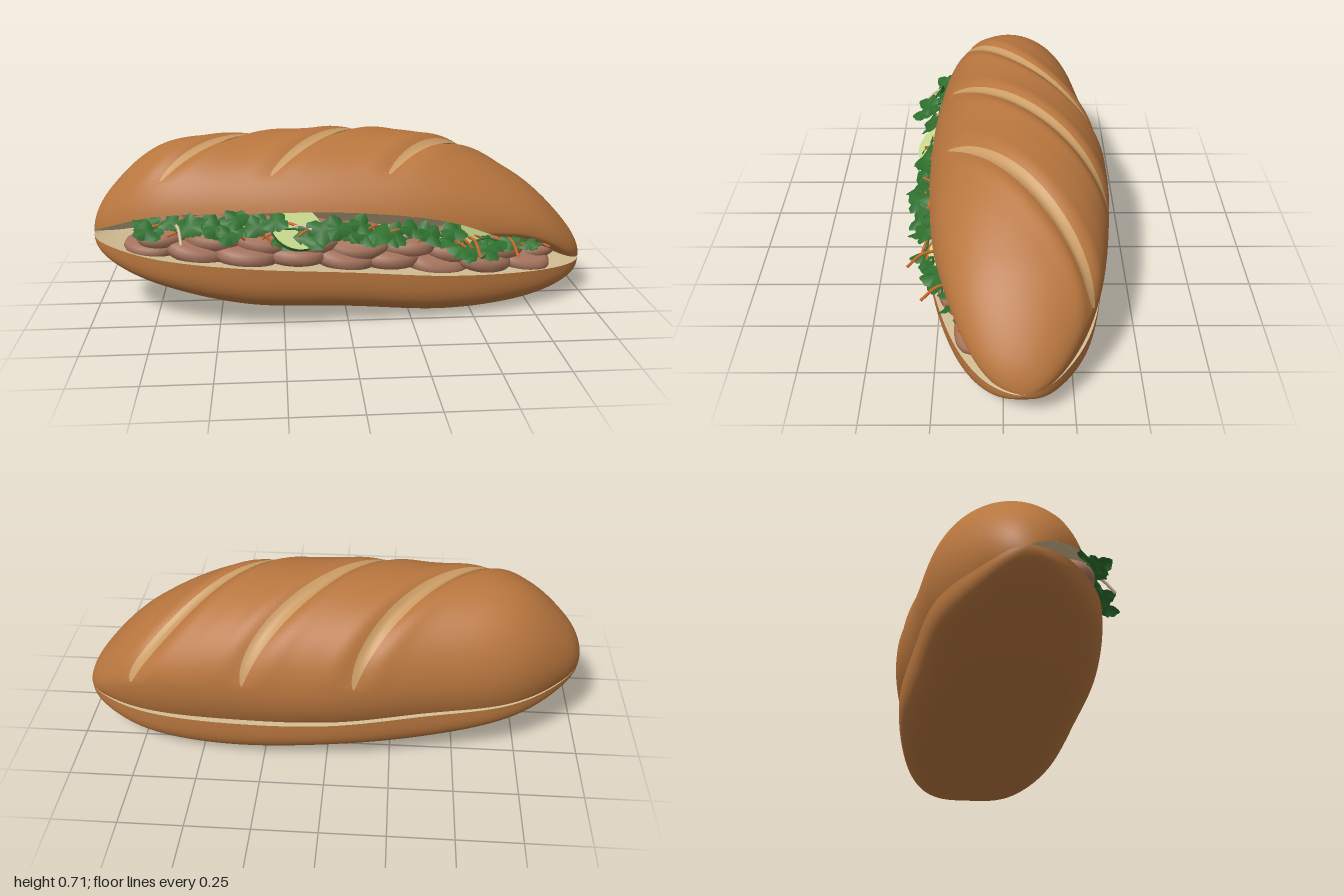
import * as THREE from 'three';

const paint = (name, color, side = THREE.FrontSide) => {
  const m = new THREE.MeshStandardMaterial({ color, side });
  m.name = name;
  return m;
};

// Outline tables, sampled at nine stations x = -cos(u), u = 0..PI
const T = {
  top: [.31, .49, .66, .69, .70, .66, .505, .305, .14],       // crown height
  mid: [.31, .345, .37, .37, .365, .36, .325, .21, .14],      // widest height of the lid
  lip: [.31, .37, .44, .455, .455, .405, .27, .18, .14],      // front edge of the lid
  hinge: [.31, .27, .25, .23, .20, .18, .165, .15, .14],      // back seam
  lidF: [0, .13, .24, .285, .30, .275, .20, .085, -.07],
  lidB: [0, -.145, -.29, -.355, -.415, -.395, -.335, -.21, -.07],
  rim: [.31, .30, .28, .255, .228, .19, .165, .15, .14],      // front edge of the base
  low: [.31, .22, .135, .06, .035, .001, .015, .07, .14],     // underside
  baseF: [0, .15, .28, .33, .32, .285, .2, .08, -.07],
  baseB: [0, -.135, -.28, -.345, -.395, -.38, -.32, -.2, -.07],
};
function at(name, u) {
  const a = T[name], f = THREE.MathUtils.clamp(u / Math.PI, 0, 1) * 8;
  const i = Math.min(7, Math.floor(f)), t = f - i;
  const p1 = a[i], p2 = a[i + 1];
  const p0 = i === 0 ? 2 * p1 - p2 : a[i - 1], p3 = i === 7 ? 2 * p2 - p1 : a[i + 2];
  return p1 + .5 * t * (p2 - p0 + t * (2 * p0 - 5 * p1 + 4 * p2 - p3 + t * (3 * (p1 - p2) + p3 - p0)));
}
const uOf = x => Math.acos(THREE.MathUtils.clamp(-x, -1, 1));

// Grid surface from fn(a, b) -> [x, y, z], a and b in 0..1
function loft(fn, na, nb) {
  const pos = [], idx = [];
  for (let i = 0; i <= na; i++) for (let j = 0; j <= nb; j++) pos.push(...fn(i / na, j / nb));
  for (let i = 0; i < na; i++) for (let j = 0; j < nb; j++) {
    const a = i * (nb + 1) + j, b = a + nb + 1;
    idx.push(a, b, a + 1, b, b + 1, a + 1);
  }
  const g = new THREE.BufferGeometry();
  g.setAttribute('position', new THREE.Float32BufferAttribute(pos, 3));
  g.setIndex(idx);
  g.computeVertexNormals();
  return g;
}

// Lid cross-section and the grooves of the diagonal scores
const SCORES = [-.45, -.03, .42];
const scoreX = (c, th) => c - .345 * Math.cos(th);
const fade = th => Math.pow(Math.max(0, Math.sin(Math.PI * THREE.MathUtils.clamp((th - .7) / 2.35, 0, 1))), .6);
const crownRadius = u => Math.max(1e-4, at('top', u) - at('mid', u));
// below the widest height the front edge tucks under and the back drops steeply to the seam
const tuckRadius = u => Math.max(.07, 1.3 * (at('mid', u) - at('lip', u)));
const backRadius = u => Math.max(crownRadius(u), 2 * (at('mid', u) - at('hinge', u)));
function lidPoint(u, th, lift = 0) {
  const x = -Math.cos(u), f = at('lidF', u), b = at('lidB', u);
  let dent = 0;
  for (const c of SCORES) {
    const d = (x - scoreX(c, th)) / .045;
    dent += (.02 * Math.exp(-d * d) - .006 * Math.exp(-Math.pow(Math.abs(d) - 2, 2))) * fade(th);
  }
  const c = Math.cos(th), s = Math.sin(th), crown = crownRadius(u);
  const ry = s > 0 ? crown : c > 0 ? tuckRadius(u) : backRadius(u);
  const k = lift - dent * Math.min(1, crown / .2);
  return [x, at('mid', u) + (ry + k) * s, (f + b) / 2 + ((f - b) / 2 + k) * c];
}
function lidAngles(u) {
  const yc = at('mid', u), front = at('lip', u) - yc, back = yc - at('hinge', u);
  const angle = v => Math.asin(THREE.MathUtils.clamp(v, -.95, .95));
  return [angle(front / (front < 0 ? tuckRadius(u) : crownRadius(u))), Math.PI + angle(back / backRadius(u))];
}
// Base cross-section, b = 0 at the back edge and 1 at the front edge
function basePoint(u, b) {
  const f = at('baseF', u), k = at('baseB', u), c = -Math.cos(b * Math.PI), s = Math.sin(b * Math.PI);
  const top = THREE.MathUtils.lerp(at('hinge', u) + .008, at('rim', u), b);
  const y = top - (top - at('low', u)) * Math.pow(Math.max(0, s), .63);
  return [-Math.cos(u), y, (f + k) / 2 + (f - k) / 2 * Math.sign(c) * Math.pow(Math.abs(c), .48)];
}

export function createModel() {
  const root = new THREE.Group();
  const crust = paint('crust', 0xb8763e, THREE.DoubleSide);
  const scoreMat = paint('scoredCrust', 0xcb9d66, THREE.DoubleSide);
  const crumb = paint('crumb', 0xd3bd93, THREE.DoubleSide);
  const meat = paint('meat', 0xa5735c);
  const leafMat = paint('leafGreen', 0x2e6f2e, THREE.DoubleSide);
  const skin = paint('cucumberSkin', 0x2f7030);
  const flesh = paint('cucumberFlesh', 0xc6d78c);
  const carrot = paint('carrot', 0xcf6a2a);
  const radish = paint('radish', 0xdccba4);

  let seed = 11;
  const rnd = () => (seed = (seed * 16807) % 2147483647) / 2147483647;
  const vary = r => (rnd() * 2 - 1) * r;
  const add = (parent, name, geo, mat) => {
    const m = new THREE.Mesh(geo, mat);
    m.name = name;
    parent.add(m);
    return m;
  };
  const group = name => {
    const g = new THREE.Group();
    g.name = name;
    root.add(g);
    return g;
  };

  // Bread lid: crust dome, score strips and arched crumb underside
  const lid = group('breadLid');
  add(lid, 'lidCrust', loft((a, b) => {
    const u = a * Math.PI, [t0, t1] = lidAngles(u);
    return lidPoint(u, t0 + (t1 - t0) * b);
  }, 200, 64), crust);
  for (const c of SCORES) add(lid, 'score', loft((a, b) => {
    const th = .72 + 2.33 * b;
    return lidPoint(uOf(scoreX(c, th) + (a - .5) * .08 * fade(th)), th, .004);
  }, 8, 60), scoreMat);
  add(lid, 'lidCrumb', loft((a, b) => {
    const u = a * Math.PI, [t0, t1] = lidAngles(u), p = lidPoint(u, t1), q = lidPoint(u, t0);
    const arch = .25 * crownRadius(u) * Math.sin(b * Math.PI);
    return p.map((v, i) => v + (q[i] - v) * b + (i === 1 ? arch : 0));
  }, 80, 16), crumb);

  // Bread base: crust shell and cut crumb face
  const base = group('breadBase');
  add(base, 'baseCrust', loft((a, b) => basePoint(a * Math.PI, b), 100, 56), crust);
  add(base, 'baseCrumb', loft((a, b) => {
    const p = basePoint(a * Math.PI, 1), q = basePoint(a * Math.PI, 0);
    return p.map((v, i) => v + (q[i] - v) * b);
  }, 100, 6), crumb);

  // Meat slices: thick rounded discs in two overlapping rows
  const meats = group('meatSlices');
  const slice = new THREE.LatheGeometry(
    [[0, -.036], [.72, -.035], [.92, -.024], [1, 0], [.92, .024], [.72, .035], [0, .036]]
      .map(([r, y]) => new THREE.Vector2(r, y)), 28);
  for (const [n, up, back] of [[9, .035, .11], [9, .09, .125]]) {
    for (let i = 0; i < n; i++) {
      const x = -.76 + 1.54 * (i + (up > .05 ? .3 : 0)) / (n - .7), u = uOf(x);
      const k = Math.min(1, .5 + (1 - Math.abs(x)) * 1.2);
      const m = add(meats, 'meatSlice', slice, meat);
      m.position.set(x, at('rim', u) + up * k + vary(.008), at('baseF', u) - back * k - .012 + vary(.012));
      m.rotation.set(.25 + vary(.15), vary(.3), -.1 + vary(.15));
      m.scale.set(.135 * k, k, .1 * k);
    }
  }

  // Cucumber slices with green skin
  const cukes = group('cucumberSlices');
  for (const [x, y, z, r, tilt, roll] of [[-.2, .395, .275, .1, .65, -.25], [.5, .328, .205, .085, .7, -.65]]) {
    const m = add(cukes, 'cucumberSlice', new THREE.CylinderGeometry(r, r, .016, 32), [skin, flesh, flesh]);
    m.position.set(x, y, z);
    m.rotation.set(tilt, 0, roll);
  }

  // Filling line: height between base rim and lid edge, and depth just under the lid edge
  const fillY = (x, f) => THREE.MathUtils.lerp(at('rim', uOf(x)), at('lip', uOf(x)), f)
    + .05 * THREE.MathUtils.smoothstep(x, .45, .75);
  const fillZ = x => at('lidF', uOf(x)) - .035 * THREE.MathUtils.smoothstep(x, .4, .75);

  // Carrot and radish shreds
  const shreds = group('vegetableShreds');
  for (let i = 0; i < 34; i++) {
    const x = -.76 + 1.54 * (i + rnd() * .8) / 34, pale = i % 4 === 0;
    const curve = new THREE.CatmullRomCurve3([-1, 0, 1].map(k =>
      new THREE.Vector3(k * .05, k ? -.01 : .01, k * vary(.02))));
    const m = add(shreds, pale ? 'radishShred' : 'carrotShred',
      new THREE.TubeGeometry(curve, 8, .0055, 5), pale ? radish : carrot);
    m.position.set(x, fillY(x, .66 + vary(.1)), fillZ(x) - .01 + vary(.025));
    m.rotation.set(vary(.3), vary(.55), -.15 + vary(.35));
  }
  // A few shreds hanging over the front
  for (const [x, mat] of [[-.64, radish], [.48, carrot], [.64, carrot]]) {
    const y = fillY(x, .75), z = fillZ(x);
    const curve = new THREE.CatmullRomCurve3([[x - .03, y, z - .04], [x, y + .01, z + .04], [x + .015, y - .04, z + .1]]
      .map(p => new THREE.Vector3(...p)));
    add(shreds, 'hangingShred', new THREE.TubeGeometry(curve, 10, .006, 5), mat);
  }

  // Herb leaves: lobed, cupped discs lying nearly flat, with thin stems
  const herbs = group('herbs');
  const leaf = new THREE.CircleGeometry(1, 36);
  const lp = leaf.attributes.position;
  for (let i = 1; i < lp.count; i++) {
    const a = (i - 1) / 36 * Math.PI * 2;
    const r = .82 + .16 * Math.cos(a * 3) + .06 * Math.cos(a * 9);
    lp.setXYZ(i, r * Math.cos(a), r * Math.sin(a), -.2 + .12 * Math.cos(a * 3));
  }
  leaf.computeVertexNormals();
  for (let i = 0; i < 40; i++) {
    const x = -.82 + 1.58 * (i + rnd()) / 40, k = Math.abs(x) > .6 ? .8 : 1;
    const nearCuke = Math.min(Math.abs(x + .2), Math.abs(x - .5)) < .07;
    const m = add(herbs, 'leaf', leaf, leafMat);
    m.position.set(x, fillY(x, nearCuke ? .6 : .68 + rnd() * .24), fillZ(x) + (nearCuke ? .025 : rnd() * .045));
    m.rotation.set(-.95 + vary(.4), vary(.4), vary(3));
    m.scale.setScalar((.046 + rnd() * .02) * k);
  }
  // Leaves reaching furthest out
  for (const [x, f, z] of [[-.5, .88, .07], [-.45, .75, .085], [-.42, 1, .04], [-.76, .8, .06]]) {
    const m = add(herbs, 'leaf', leaf, leafMat);
    m.position.set(x, fillY(x, f), fillZ(x) + z);
    m.rotation.set(-.9, .2, x * 9);
    m.scale.setScalar(.052);
  }
  const stem = new THREE.CylinderGeometry(.004, .004, .12, 5);
  for (let i = 0; i < 14; i++) {
    const x = -.7 + 1.4 * i / 13, m = add(herbs, 'stem', stem, leafMat);
    m.position.set(x, fillY(x, .72), fillZ(x) + .005);
    m.rotation.set(vary(.5), 0, Math.PI / 2 + vary(.5));
  }
  return root;
}
